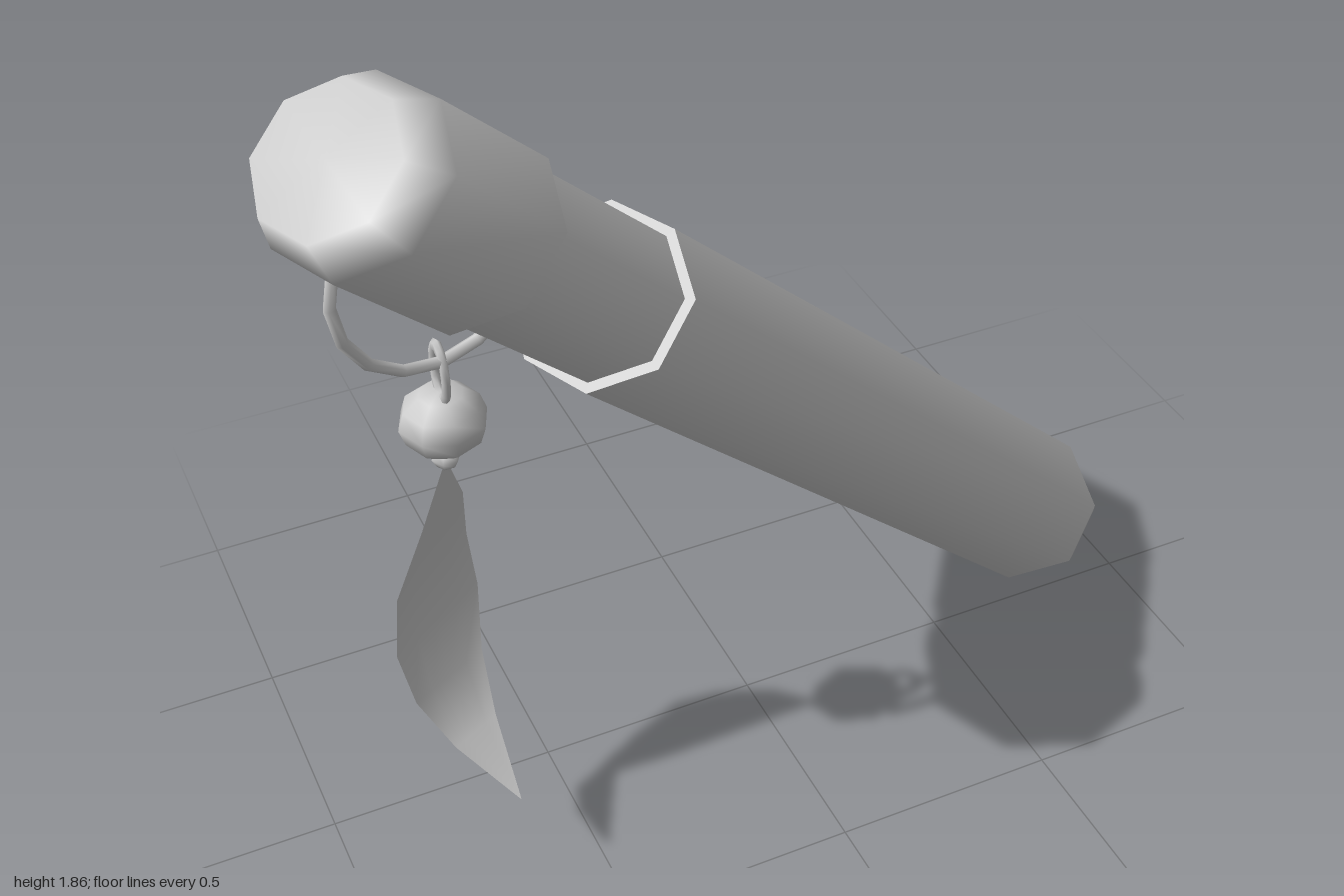
import * as THREE from 'three';

export function createModel() {
  const model = new THREE.Group();
  const grey = new THREE.MeshStandardMaterial({ color: 0xcccccc });
  const thin = new THREE.MeshStandardMaterial({ color: 0xcccccc, side: THREE.DoubleSide });

  const add = (name, geometry, position = [0, 0, 0], material = grey) => {
    const mesh = new THREE.Mesh(geometry, material);
    mesh.name = name;
    mesh.position.set(...position);
    model.add(mesh);
    return mesh;
  };

  // Leaning, flattened eight-sided frame shared by all tube parts;
  // its origin is the centre of the sleeve's upper rim
  const frame = new THREE.Matrix4().makeBasis(
    new THREE.Vector3(0.158, 0.111, 0.008),
    new THREE.Vector3(-0.71, 0.686, 0.1585),
    new THREE.Vector3(0.015, -0.015, 0.2525),
  ).setPosition(-0.353, 1.275, 0.078);

  const tube = (name, profile) => {
    const points = profile.map(([r, h]) => new THREE.Vector2(r, h));
    return add(name, new THREE.LatheGeometry(points, 8).applyMatrix4(frame));
  };

  // Long sleeve with a chamfered foot, narrower neck, and chamfered cap
  tube('sleeve', [[0, -1.725], [0.79, -1.725], [1, -1.64], [1, 0]]);
  tube('sleeveLip', [[1, 0], [0.87, 0]]);
  tube('neck', [[0.89, -0.02], [0.89, 0.4]]);
  tube('capLip', [[0.87, 0.38], [1.01, 0.38]]);
  tube('cap', [[1.01, 0.38], [1.01, 0.665], [0.79, 0.738], [0, 0.738]]);

  // Ring through the neck and the link that hangs from it
  const ring = add('ring', new THREE.TorusGeometry(0.212, 0.013, 6, 16), [-0.69, 1.46, 0.12]);
  ring.rotation.y = 0.22;
  const link = add('link', new THREE.TorusGeometry(0.036, 0.009, 6, 12), [-0.69, 1.21, 0.1]);
  link.rotation.y = Math.PI / 2;
  link.scale.y = 1.7;

  // Beads
  add('bead', new THREE.SphereGeometry(0.09, 8, 6), [-0.69, 1.09, 0.09]).scale.y = 0.82;
  add('smallBead', new THREE.SphereGeometry(0.03, 6, 4), [-0.69, 0.995, 0.085]).scale.y = 0.85;

  // Feather: rows of [y, x and z of one edge, x and z of the other edge]
  const rows = [
    [0.98, -0.692, 0.08, -0.688, 0.08],
    [0.83, -0.755, 0.09, -0.642, 0.01],
    [0.68, -0.825, 0.1, -0.63, -0.035],
    [0.53, -0.84, 0.1, -0.615, -0.04],
    [0.4, -0.815, 0.115, -0.637, 0.02],
    [0.31, -0.76, 0.185, -0.652, 0.13],
    [0.225, -0.666, 0.3, -0.664, 0.3],
  ];
  const across = 4;
  const positions = [];
  const index = [];
  rows.forEach(([y, xa, za, xb, zb], i) => {
    for (let j = 0; j <= across; j++) {
      const t = j / across;
      positions.push(THREE.MathUtils.lerp(xa, xb, t), y, THREE.MathUtils.lerp(za, zb, t));
      if (i && j) {
        const d = i * (across + 1) + j;
        const b = d - across - 1;
        index.push(b - 1, d - 1, b, b, d - 1, d);
      }
    }
  });
  const feather = new THREE.BufferGeometry();
  feather.setAttribute('position', new THREE.Float32BufferAttribute(positions, 3));
  feather.setIndex(index);
  feather.computeVertexNormals();
  add('feather', feather, [0, 0, 0], thin);

  return model;
}
